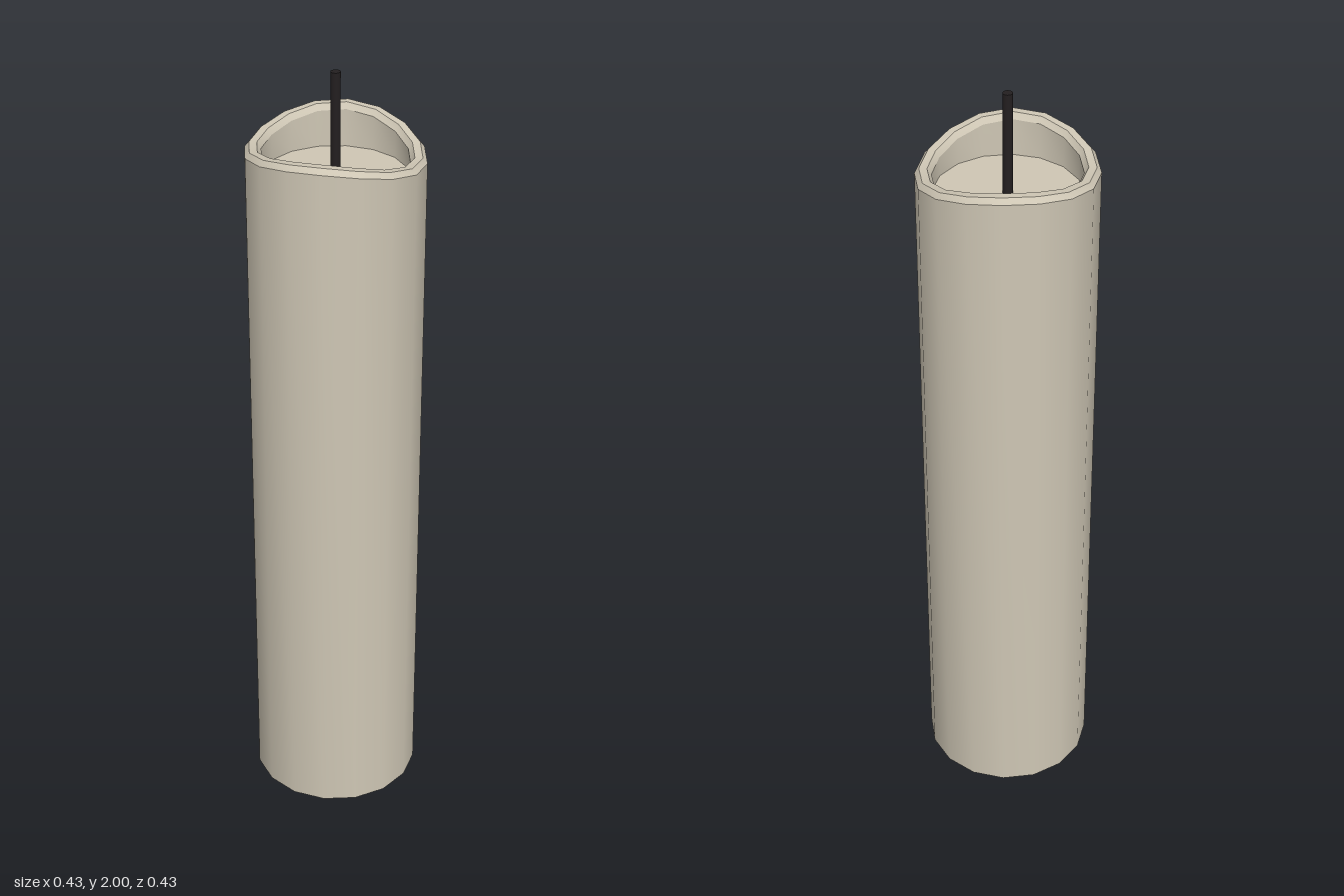
import * as THREE from 'three';
import { mergeVertices } from 'three/addons/utils/BufferGeometryUtils.js';

const SIDES = 16;
const FLOOR = 1.74;

// Height of the wavy rim around the candle: high at front and back, low at the sides
function rimHeight(x, z) {
  const a = Math.atan2(z, x);
  return 1.828 - 0.022 * Math.cos(2 * a) - 0.008 * Math.cos(a);
}

// One ring of surface between two profile points [radius, y, followsRim];
// where followsRim is true, y is measured from the rim
function band(from, to) {
  const profile = [from, to].map(([r, y]) => new THREE.Vector2(r, y));
  const geo = new THREE.LatheGeometry(profile, SIDES);
  const pos = geo.attributes.position;
  for (let i = 0; i < pos.count; i++) {
    const follows = i % 2 ? to[2] : from[2];
    if (follows) pos.setY(i, pos.getY(i) + rimHeight(pos.getX(i), pos.getZ(i)));
  }
  // Weld the seam so the sides shade smoothly all the way round
  geo.deleteAttribute('uv');
  geo.deleteAttribute('normal');
  const welded = mergeVertices(geo, 1e-5);
  welded.computeVertexNormals();
  return welded;
}

export function createModel() {
  const wax = new THREE.MeshStandardMaterial({ color: 0xcfc7b5 });
  wax.name = 'ivory wax';
  const black = new THREE.MeshStandardMaterial({ color: 0x231f20 });
  black.name = 'black wick';

  const model = new THREE.Group();
  model.name = 'candle';

  const add = (name, geo, material) => {
    const mesh = new THREE.Mesh(geo, material);
    mesh.name = name;
    model.add(mesh);
    return mesh;
  };

  // Wax body, from the centre of the base up over the rim to the sunken top
  const profile = [
    [0, 0, false],
    [0.217, 0, false],
    [0.217, -0.013, true],
    [0.206, 0, true],
    [0.187, 0, true],
    [0.177, -0.015, true],
    [0.177, FLOOR, false],
    [0, FLOOR, false],
  ];
  const names = ['base', 'body', 'outerBevel', 'rim', 'innerBevel', 'innerWall', 'sunkenTop'];
  names.forEach((name, i) => add(name, band(profile[i], profile[i + 1]), wax));

  // Wick
  const wickLength = 2 - FLOOR;
  const wick = add('wick', new THREE.CylinderGeometry(0.012, 0.012, wickLength, SIDES), black);
  wick.position.y = FLOOR + wickLength / 2;

  return model;
}
